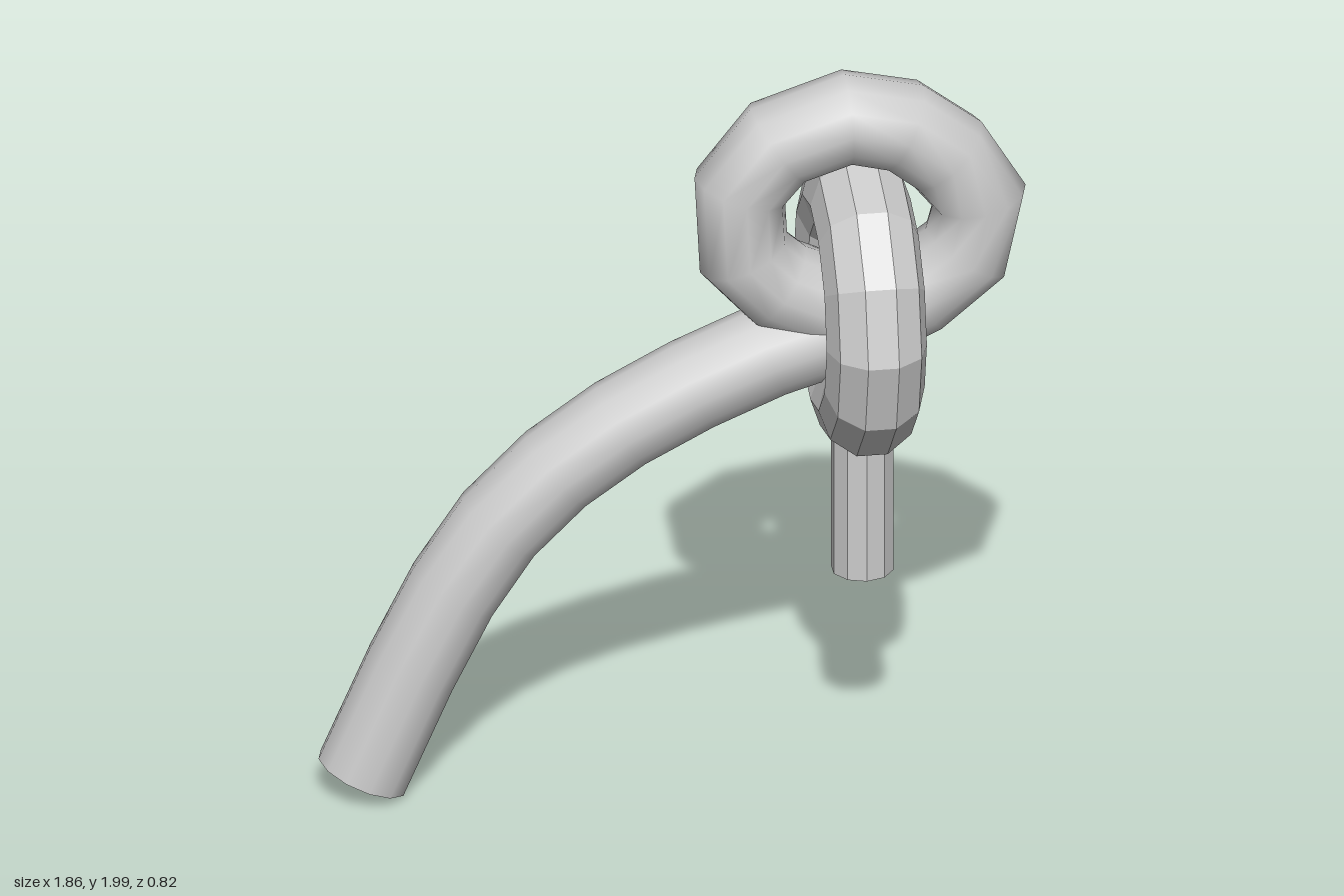
import * as THREE from 'three';

// Curve that steps exactly through its points, keeping the faceted bends.
class StepCurve extends THREE.Curve {
  constructor(points) {
    super();
    this.points = points;
  }
  getPointAt(u, target = new THREE.Vector3()) {
    const f = u * (this.points.length - 1);
    const i = Math.min(Math.floor(f + 1e-6), this.points.length - 2);
    return target.lerpVectors(this.points[i], this.points[i + 1], f - i);
  }
  getPoint(u, target) {
    return this.getPointAt(u, target);
  }
  getTangentAt(u, target = new THREE.Vector3()) {
    const last = this.points.length - 1;
    const i = Math.round(u * last);
    const a = this.points[Math.max(i - 1, 0)], b = this.points[Math.min(i + 1, last)], p = this.points[i];
    const before = p.clone().sub(a).normalize();
    return target.copy(b).sub(p).normalize().add(before).normalize();
  }
}

export function createModel() {
  const model = new THREE.Group();
  const smooth = new THREE.MeshStandardMaterial({ color: 0xcccccc });
  const flat = new THREE.MeshStandardMaterial({ color: 0xcccccc, flatShading: true });

  const add = (name, geometry, material, x = 0, y = 0) => {
    const mesh = new THREE.Mesh(geometry, material);
    mesh.name = name;
    mesh.position.set(x, y, 0);
    model.add(mesh);
    return mesh;
  };

  // Curved arm that rises, then curls back on itself into an eye
  const armRadius = 0.125;
  const path = [
    [-0.82, 0.055], [-0.69, 0.355], [-0.58, 0.575], [-0.46, 0.755], [-0.31, 0.905],
    [-0.14, 1.025], [0.05, 1.125], [0.25, 1.21], [0.45, 1.27], [0.64, 1.36],
    [0.77, 1.465], [0.805, 1.62], [0.72, 1.75], [0.605, 1.84], [0.457, 1.875],
    [0.275, 1.815], [0.175, 1.69], [0.185, 1.5], [0.275, 1.405], [0.41, 1.34],
  ].map(([x, y]) => new THREE.Vector3(x, y, 0));
  add('curvedArm', new THREE.TubeGeometry(new StepCurve(path), path.length - 1, armRadius, 12, false), smooth);

  // End disc closing the foot of the arm
  const cap = add('armEndCap', new THREE.CircleGeometry(armRadius, 12), flat, path[0].x, path[0].y);
  cap.quaternion.setFromUnitVectors(
    new THREE.Vector3(0, 0, 1),
    path[0].clone().sub(path[1]).normalize()
  );

  // Faceted ring linked through the eye, its axis along x
  const sides = 10, ringRadius = 0.283, ringThickness = 0.132;
  const profile = [];
  for (let i = 0; i <= sides; i++) {
    const a = ((i + 0.5) / sides) * Math.PI * 2;
    profile.push(new THREE.Vector2(ringRadius + ringThickness * Math.cos(a), ringThickness * Math.sin(a)));
  }
  add('linkRing', new THREE.LatheGeometry(profile, 12).rotateZ(Math.PI / 2), flat, 0.493, 1.34);

  // Short peg hanging below the ring
  add('peg', new THREE.CylinderGeometry(0.083, 0.083, 0.47, 10), flat, 0.498, 0.79);

  return model;
}
